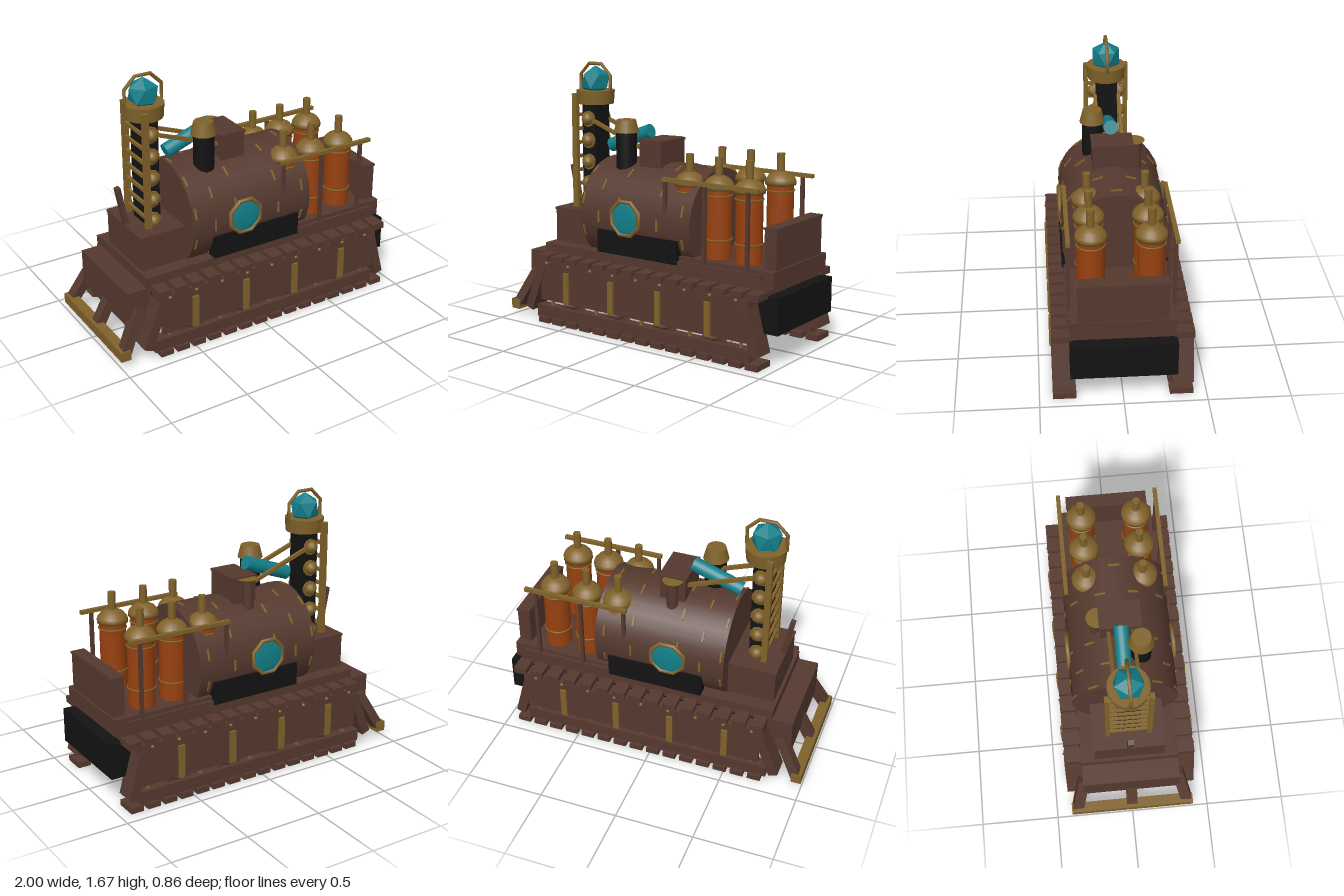
import * as THREE from 'three';

export function createModel() {
  const root = new THREE.Group();
  root.name = 'steamCrawler';
  const mat = (name, color, flatShading = false) => {
    const m = new THREE.MeshStandardMaterial({ color, flatShading });
    m.name = name;
    return m;
  };
  const brown = mat('rustBrown', 0x55392f);
  const brass = mat('brass', 0x80622a);
  const teal = mat('tealGlass', 0x13808a);
  const orange = mat('orangeTank', 0x98410f);
  const black = mat('sootBlack', 0x131313);
  brass.flatShading = false;

  const add = (name, geo, m, x = 0, y = 0, z = 0) => {
    const mesh = new THREE.Mesh(geo, m);
    mesh.name = name;
    mesh.position.set(x, y, z);
    root.add(mesh);
    return mesh;
  };
  // box given by its limits on each axis
  const box = (name, m, x0, x1, y0, y1, z0, z1) =>
    add(name, new THREE.BoxGeometry(x1 - x0, y1 - y0, z1 - z0), m, (x0 + x1) / 2, (y0 + y1) / 2, (z0 + z1) / 2);
  // upright cylinder from y0 to y1
  const cyl = (name, m, x, z, y0, y1, rTop, rBottom = rTop, sides = 20) =>
    add(name, new THREE.CylinderGeometry(rTop, rBottom, y1 - y0, sides), m, x, (y0 + y1) / 2, z);
  // straight part laid between two points
  const span = (name, geo, m, a, b) => {
    const p = new THREE.Vector3(...a), q = new THREE.Vector3(...b);
    const mesh = add(name, geo(p.distanceTo(q)), m);
    mesh.position.copy(p).add(q).multiplyScalar(0.5);
    mesh.quaternion.setFromUnitVectors(new THREE.Vector3(0, 1, 0), q.sub(p).normalize());
    return mesh;
  };
  const bar = (name, m, a, b, w, d = w) => span(name, l => new THREE.BoxGeometry(w, l, d), m, a, b);

  // hull and decks
  box('chassis', black, -0.74, 1.0, 0.2, 0.42, -0.315, 0.315);
  box('prow', brown, -0.9, -0.74, 0.2, 0.44, -0.31, 0.31);
  box('deck', brown, -0.77, 0.92, 0.41, 0.505, -0.31, 0.31);
  box('rearPlatform', brown, 0.05, 0.96, 0.46, 0.565, -0.305, 0.305);
  box('rearLocker', brown, 0.87, 0.95, 0.565, 0.81, -0.26, 0.26);
  box('rearLockerLid', brown, 0.866, 0.955, 0.795, 0.808, -0.265, 0.265);
  box('frontBlock', brown, -0.75, -0.44, 0.5, 0.725, -0.22, 0.22);
  box('frontBlockLid', brown, -0.755, -0.45, 0.715, 0.73, -0.225, 0.225);
  bar('lever', brown, [-0.735, 0.72, 0], [-0.785, 0.98, 0], 0.03, 0.036);

  // bumper and struts
  box('bumper', brass, -1, -0.935, 0.045, 0.11, -0.4, 0.4);
  for (const z of [-0.36, 0, 0.36])
    bar('bumperStrut', brown, [-0.96, 0.08, z], [-0.83, 0.32, z * 0.85], 0.06, 0.07);

  // boiler with ticks of brass banding
  const boiler = add('boiler', new THREE.CylinderGeometry(0.33, 0.33, 0.84, 32), brown, -0.03, 0.74, 0);
  boiler.rotation.z = Math.PI / 2;
  [-0.43, -0.3, -0.15, 0.15, 0.33].forEach((x, i) => {
    for (let k = 0; k < 10; k++) {
      const a = (k + (i % 2) / 2) * Math.PI / 5;
      const tick = add('boilerBandTick', new THREE.BoxGeometry(0.012, 0.008, 0.07), brass,
        x, 0.74 + Math.cos(a) * 0.331, Math.sin(a) * 0.331);
      tick.rotation.x = a;
    }
  });

  // hatch, chimney, vent and telescope on the boiler
  box('hatch', brown, -0.135, 0.03, 1.02, 1.21, -0.125, 0.125);
  box('hatchLid', brown, -0.14, 0.035, 1.2, 1.215, -0.13, 0.13);
  cyl('chimney', black, -0.25, 0.11, 1.0, 1.26, 0.065);
  cyl('chimneyCap', brass, -0.25, 0.11, 1.25, 1.33, 0.06, 0.08);
  cyl('ventPipe', brown, -0.06, -0.15, 1.0, 1.19, 0.035);
  cyl('ventFlare', brass, -0.06, -0.14, 1.185, 1.205, 0.065, 0.045);
  span('telescope', l => new THREE.CylinderGeometry(0.045, 0.045, l, 20), teal, [-0.455, 1.14, 0], [-0.14, 1.255, 0]);

  // portholes and side panels, mirrored
  for (const s of [-1, 1]) {
    const ring = add('portholeRing', new THREE.TorusGeometry(0.112, 0.014, 8, 8), brass, -0.09, 0.75, s * 0.332);
    ring.rotation.z = Math.PI / 8;
    const glass = add('portholeGlass', new THREE.SphereGeometry(0.108, 16, 12), teal, -0.09, 0.75, s * 0.33);
    glass.scale.z = 0.15;
    box('sidePanel', black, -0.31, 0.3, 0.515, 0.66, s * 0.3 - 0.035, s * 0.3 + 0.035);
  }

  // gas tanks
  const dome = [[0, 0.065], [0.035, 0.06], [0.07, 0.04], [0.09, 0.015], [0.095, 0], [0.095, -0.02], [0, -0.02]]
    .map(p => new THREE.Vector2(...p)).reverse();
  for (const x of [0.285, 0.495, 0.71])
    for (const z of [-0.175, 0.175]) {
      cyl('tank', orange, x, z, 0.55, 1.0, 0.082);
      add('tankDome', new THREE.LatheGeometry(dome, 20), brass, x, 1.0, z);
      cyl('tankNozzle', brass, x, z, 1.05, 1.17, 0.024, 0.024, 12);
      for (const y of [0.68, 0.945])
        add('tankBand', new THREE.TorusGeometry(0.083, 0.006, 6, 20), brass, x, y, z).rotation.x = Math.PI / 2;
    }

  // tank railings
  for (const z of [-0.31, 0.31]) {
    box('rail', brass, 0.18, 0.857, 1.012, 1.035, z - 0.013, z + 0.013);
    box('railFoot', brown, 0.18, 0.885, 0.515, 0.54, z - 0.015, z + 0.015);
    for (const x of [0.2, 0.485, 0.785])
      box('railPost', brown, x - 0.011, x + 0.011, 0.52, 1.02, z - 0.01, z + 0.01);
  }

  // mast with ladder, studs and braces
  box('mast', black, -0.645, -0.535, 0.72, 1.42, -0.07, 0.07);
  for (const s of [-1, 1]) {
    box('ladderPost', brass, -0.67, -0.632, 0.73, 1.47, s * 0.13 - 0.014, s * 0.13 + 0.014);
    bar('mastBrace', brass, [-0.6, 1.315, s * 0.075], [-0.1, 1.13, s * 0.075], 0.022);
    for (let i = 0; i < 5; i++) {
      const y = 0.745 + i * 0.14;
      const rim = add('studRim', new THREE.CylinderGeometry(0.052, 0.052, 0.02, 10), brass, -0.588, y, s * 0.075);
      rim.rotation.x = Math.PI / 2;
      add('stud', new THREE.SphereGeometry(0.04, 12, 8), brass, -0.588, y, s * 0.085);
    }
  }
  for (let i = 0; i < 8; i++)
    box('ladderRung', brass, -0.662, -0.64, 0.78 + i * 0.09, 0.8 + i * 0.09, -0.13, 0.13);

  // beacon on the mast
  cyl('beaconCup', brass, -0.59, 0, 1.4, 1.488, 0.125, 0.118, 20);
  const crystalGlass = mat('crystalGlass', 0x13808a, true);
  const crystal = add('beaconCrystal', new THREE.IcosahedronGeometry(0.1, 0), crystalGlass, -0.59, 1.545, 0);
  crystal.rotation.z = 0.55;
  add('beaconHoop', new THREE.TorusGeometry(0.132, 0.012, 6, 8), brass, -0.59, 1.535, 0).rotation.z = Math.PI / 8;

  // tracks, mirrored
  for (const s of [-1, 1]) {
    const side = (name, m, x0, x1, y0, y1, z0, z1) =>
      box(name, m, x0, x1, y0, y1, Math.min(s * z0, s * z1), Math.max(s * z0, s * z1));
    side('trackSkirt', brown, -0.72, 0.85, 0.155, 0.36, 0.385, 0.415);
    side('trackFender', brown, -0.74, 0.865, 0.355, 0.415, 0.3, 0.415);
    side('trackBelt', brown, -0.77, 0.86, 0.03, 0.11, 0.325, 0.4);
    for (let i = 0; i < 15; i++) {
      const x = -0.7 + i * 0.1135;
      side('lowerPad', brown, x - 0.042, x + 0.042, 0, 0.036, 0.28, 0.42);
      side('upperPad', brown, x - 0.042, x + 0.042, 0.41, 0.452, 0.3, 0.418);
    }
    bar('frontTrackSlope', brown, [-0.71, 0.38, s * 0.355], [-0.825, 0.08, s * 0.355], 0.06, 0.13);
    bar('rearTrackSlope', brown, [0.83, 0.38, s * 0.355], [0.91, 0.08, s * 0.355], 0.06, 0.13);
    for (let i = 0; i < 4; i++) {
      const x = -0.5 + i * 0.362;
      side('skirtStrap', brass, x - 0.02, x + 0.02, 0.15, 0.36, 0.41, 0.43);
      // road wheel with hub and splayed legs
      const wheel = add('roadWheel', new THREE.TorusGeometry(0.09, 0.018, 6, 16), brown, x, 0.21, s * 0.35);
      wheel.scale.z = 1.4;
      add('wheelHub', new THREE.CylinderGeometry(0.04, 0.04, 0.09, 12), brass, x, 0.21, s * 0.35).rotation.x = Math.PI / 2;
      for (const d of [-1, 1])
        bar('wheelLeg', brown, [x, 0.22, s * 0.35], [x + d * 0.07, 0.1, s * 0.35], 0.03, 0.04);
    }
    for (let i = 0; i < 5; i++)
      side('trackPin', brass, -0.668 + i * 0.362, -0.65 + i * 0.362, 0.1, 0.2, 0.36, 0.378);
    for (let i = 0; i < 9; i++)
      add('fenderRivet', new THREE.SphereGeometry(0.012, 8, 6), brass, -0.67 + i * 0.181, 0.4, s * 0.415);
  }
  return root;
}
